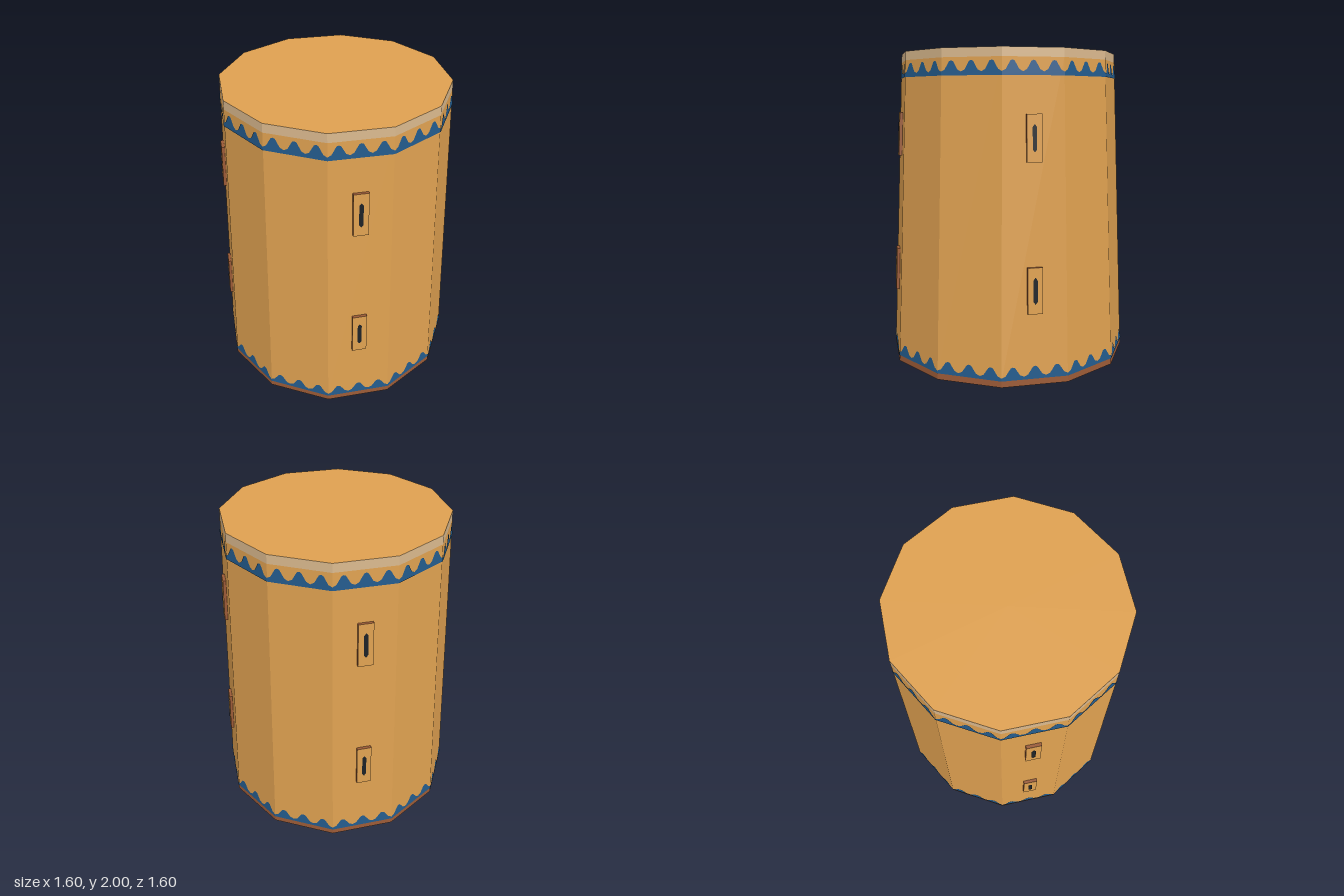
import * as THREE from 'three';

const SIDES = 12, R_BOTTOM = 0.8, R_TOP = 0.712, HEIGHT = 2;
const STEP = (Math.PI * 2) / SIDES;
const radiusAt = (y) => R_BOTTOM + (R_TOP - R_BOTTOM) * (y / HEIGHT);

const mat = (name, color) => {
  const m = new THREE.MeshStandardMaterial({ color });
  m.name = name;
  return m;
};

export function createModel() {
  const tan = mat('tan wood', 0xdea050);
  const pale = mat('pale rim', 0xd8b78c);
  const brown = mat('brown trim', 0x9a5a36);
  const blue = mat('blue paint', 0x235b8c);
  const dark = mat('dark opening', 0x1c2126);

  const model = new THREE.Group();
  model.name = 'tower';
  const add = (parent, name, geometry, material) => {
    const mesh = new THREE.Mesh(geometry, material);
    mesh.name = name;
    parent.add(mesh);
    return mesh;
  };

  // Flat-sided open ring of the tapering wall
  const wallRing = (name, y0, y1, material) => {
    const g = new THREE.CylinderGeometry(radiusAt(y1), radiusAt(y0), y1 - y0, SIDES, 1, true).toNonIndexed();
    g.translate(0, (y0 + y1) / 2, 0);
    g.computeVertexNormals();
    add(model, name, g, material);
  };
  wallRing('baseRing', 0, 0.04, brown);
  wallRing('wall', 0.04, 1.945, tan);
  wallRing('topRim', 1.945, HEIGHT, pale);

  // Roof and underside
  const roof = add(model, 'roof', new THREE.CircleGeometry(R_TOP, SIDES), tan);
  roof.rotation.x = -Math.PI / 2;
  roof.position.y = HEIGHT;
  const underside = add(model, 'underside', new THREE.CircleGeometry(R_BOTTOM, SIDES), tan);
  underside.rotation.x = Math.PI / 2;

  // Painted scalloped bands, one piece per facet
  const scallopBand = (name, low, valley, peak, teeth) => {
    const band = new THREE.Group();
    band.name = name;
    const shape = new THREE.Shape();
    shape.moveTo(0, low);
    shape.lineTo(1, low);
    const tooth = [[1, 0], [0.82, 0.18], [0.6, 0.92], [0.5, 1], [0.4, 0.92], [0.18, 0.18]];
    for (let i = teeth - 1; i >= 0; i--) {
      for (const [u, h] of tooth) shape.lineTo((i + u) / teeth, valley + (peak - valley) * h);
    }
    shape.lineTo(0, valley);
    for (let f = 0; f < SIDES; f++) {
      const g = new THREE.ShapeGeometry(shape);
      const p = g.attributes.position;
      const a = f * STEP, b = a + STEP;
      for (let i = 0; i < p.count; i++) {
        const t = p.getX(i), y = p.getY(i), r = radiusAt(y) + 0.004;
        p.setXYZ(i,
          r * (Math.sin(a) * (1 - t) + Math.sin(b) * t), y,
          r * (Math.cos(a) * (1 - t) + Math.cos(b) * t));
      }
      g.computeVertexNormals();
      add(band, name + 'Facet', g, blue);
    }
    model.add(band);
  };
  scallopBand('upperBand', 1.84, 1.862, 1.927, 3);
  scallopBand('lowerBand', 0.04, 0.058, 0.12, 3);

  // Slit windows, two on each diagonal facet, leaning with the wall
  const cosHalf = Math.cos(STEP / 2);
  const lean = Math.atan(((R_BOTTOM - R_TOP) * cosHalf) / HEIGHT);
  const frameGeo = new THREE.BoxGeometry(0.092, 0.28, 0.04);
  const frameMats = [brown, brown, brown, brown, tan, brown];
  const slit = new THREE.Shape();
  [[-0.013, -0.065], [0, -0.082], [0.013, -0.065], [0.013, 0.065], [0, 0.082], [-0.013, 0.065]]
    .forEach(([x, y], i) => (i ? slit.lineTo(x, y) : slit.moveTo(x, y)));
  const slitGeo = new THREE.ShapeGeometry(slit);
  for (let k = 0; k < 4; k++) {
    for (const y of [0.58, 1.48]) {
      const angle = Math.PI / 4 + (k * Math.PI) / 2;
      const r = radiusAt(y) * cosHalf;
      const win = new THREE.Group();
      win.name = 'slitWindow';
      win.position.set(Math.sin(angle) * r, y, Math.cos(angle) * r);
      win.rotation.set(-lean, angle, 0, 'YXZ');
      add(win, 'windowFrame', frameGeo, frameMats);
      add(win, 'windowSlit', slitGeo, dark).position.z = 0.023;
      model.add(win);
    }
  }
  return model;
}
